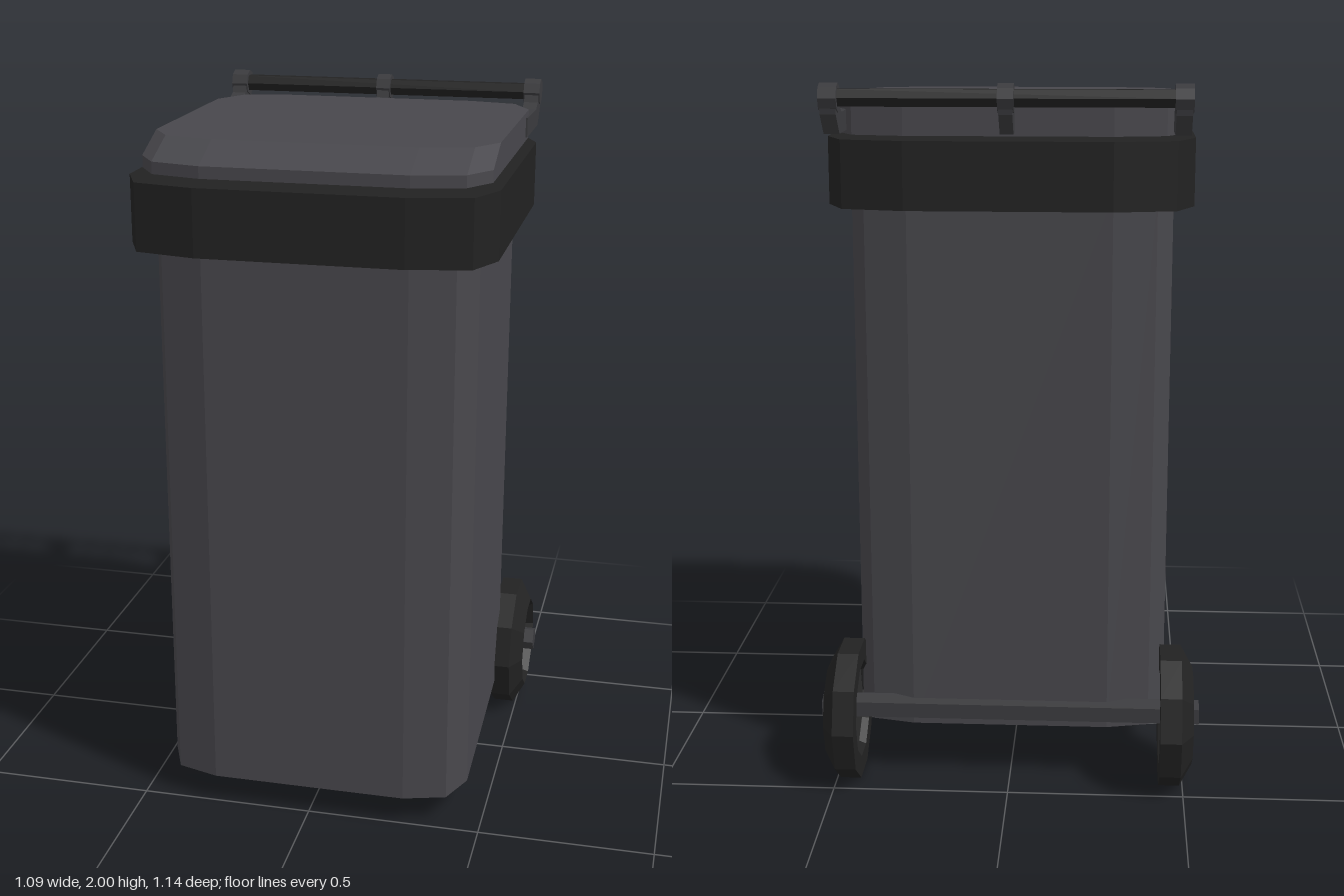
import * as THREE from 'three';

const flat = (name, color) => {
  const m = new THREE.MeshStandardMaterial({ color, flatShading: true });
  m.name = name;
  return m;
};

// Mirrors a right-hand outline of [x, z] points (front to back) into a full loop
const loop = (half) => [...half, ...half.slice().reverse().map(([x, z]) => [-x, z])];

// Skins stacked rings of [x, y, z] points, bottom to top, and caps both ends
function loft(rings) {
  const pos = [];
  const quad = (a, b, c, d) => pos.push(...a, ...b, ...c, ...a, ...c, ...d);
  const n = rings[0].length;
  for (let j = 0; j < rings.length - 1; j++) {
    for (let i = 0; i < n; i++) {
      const k = (i + 1) % n;
      quad(rings[j][i], rings[j][k], rings[j + 1][k], rings[j + 1][i]);
    }
  }
  const top = rings[rings.length - 1], low = rings[0];
  for (let i = 0; i < n / 2 - 1; i++) {
    quad(top[i], top[i + 1], top[n - 2 - i], top[n - 1 - i]);
    quad(low[n - 1 - i], low[n - 2 - i], low[i + 1], low[i]);
  }
  const g = new THREE.BufferGeometry();
  g.setAttribute('position', new THREE.Float32BufferAttribute(pos, 3));
  g.computeVertexNormals();
  return g;
}

export function createModel() {
  const model = new THREE.Group();
  model.name = 'wheeledBin';
  const grey = flat('binGrey', 0x48474c);
  const black = flat('trimBlack', 0x222222);
  const hubGrey = flat('hubGrey', 0x2d2d2e);
  const bracketGrey = flat('bracketGrey', 0x3b3b3e);

  const add = (parent, name, geometry, material, x = 0, y = 0, z = 0) => {
    const mesh = new THREE.Mesh(geometry, material);
    mesh.name = name;
    mesh.position.set(x, y, z);
    parent.add(mesh);
    return mesh;
  };
  // Rod lying along x
  const rod = (parent, name, r, length, sides, material, x, y, z) => {
    const g = new THREE.CylinderGeometry(r, r, length, sides).rotateZ(-Math.PI / 2);
    return add(parent, name, g, material, x, y, z);
  };

  // Body with slightly tapered front and back, and a floor rising to the rear
  const bodyTop = loop([[0.28, 0.51], [0.4, 0.475], [0.445, 0.37], [0.445, -0.265], [0.4, -0.355], [0.28, -0.39]]);
  const bodyLow = bodyTop.map(([x, z]) => [x, z > 0 ? z - 0.006 : z + 0.012]);
  add(model, 'body', loft([
    bodyLow.map(([x, z]) => [x, 0.085 + Math.max(0, 0.364 - z) * 0.095, z]),
    bodyTop.map(([x, z]) => [x, 1.7, z]),
  ]), grey);

  // Thick collar around the mouth
  const rim = loop([[0.28, 0.567], [0.45, 0.53], [0.5, 0.42], [0.5, -0.31], [0.45, -0.42], [0.28, -0.457]]);
  add(model, 'rim', loft([1.66, 1.845].map((y) => rim.map(([x, z]) => [x, y, z]))), black);

  // Lid with a sloping front
  const lid = loop([[0.28, 0.505], [0.42, 0.47], [0.475, 0.385], [0.475, -0.31], [0.42, -0.41], [0.28, -0.44]]);
  add(model, 'lid', loft([
    lid.map(([x, z]) => [x, 1.857, z]),
    lid.map(([x, z]) => [x, 1.89, z]),
    lid.map(([x, z]) => [x, 1.94, z > 0 ? z - 0.122 : z]),
  ]), grey);

  // Handle: three cranked brackets carrying a bar behind the lid
  const handle = new THREE.Group();
  handle.name = 'handle';
  model.add(handle);
  const barY = 1.962, barZ = -0.527;
  const bracket = (name, x, width, start) => {
    const shape = new THREE.Shape([
      [start, 1.868], [start, 1.925], [-0.45, 1.92], [-0.485, 1.935], [-0.495, 1.965],
      [-0.555, 1.945], [-0.55, 1.92], [-0.495, 1.866],
    ].map(([z, y]) => new THREE.Vector2(z, y)));
    const g = new THREE.ExtrudeGeometry(shape, { depth: width, bevelEnabled: false });
    g.translate(0, 0, -width / 2).rotateY(-Math.PI / 2);
    add(handle, name, g, bracketGrey, x);
    rod(handle, name + 'Eye', 0.038, width + 0.006, 8, bracketGrey, x, barY, barZ);
  };
  bracket('leftBracket', 0.459, 0.042, -0.25);
  bracket('rightBracket', -0.459, 0.042, -0.25);
  bracket('middleBracket', 0, 0.036, -0.42);
  rod(handle, 'handleBar', 0.026, 0.94, 6, black, 0, barY, barZ);

  // Axle and wheels
  const axleY = 0.194, axleZ = -0.367;
  rod(model, 'axle', 0.037, 1.09, 5, bracketGrey, 0, axleY + 0.01, axleZ - 0.006);
  const tyre = new THREE.LatheGeometry([
    [0.13, 0.02], [0.14, 0], [0.202, 0], [0.202, 0.06], [0.14, 0.095], [0.128, 0.06], [0.13, 0.02],
  ].map(([r, y]) => new THREE.Vector2(r, y)), 10);
  for (const side of [1, -1]) {
    const wheel = new THREE.Group();
    wheel.name = side > 0 ? 'leftWheel' : 'rightWheel';
    wheel.position.set(side * 0.431, axleY, axleZ);
    wheel.rotation.z = -side * Math.PI / 2;
    add(wheel, 'tyre', tyre, black);
    add(wheel, 'hub', new THREE.CylinderGeometry(0.135, 0.135, 0.045, 10), hubGrey, 0, 0.043, 0);
    model.add(wheel);
  }
  return model;
}
